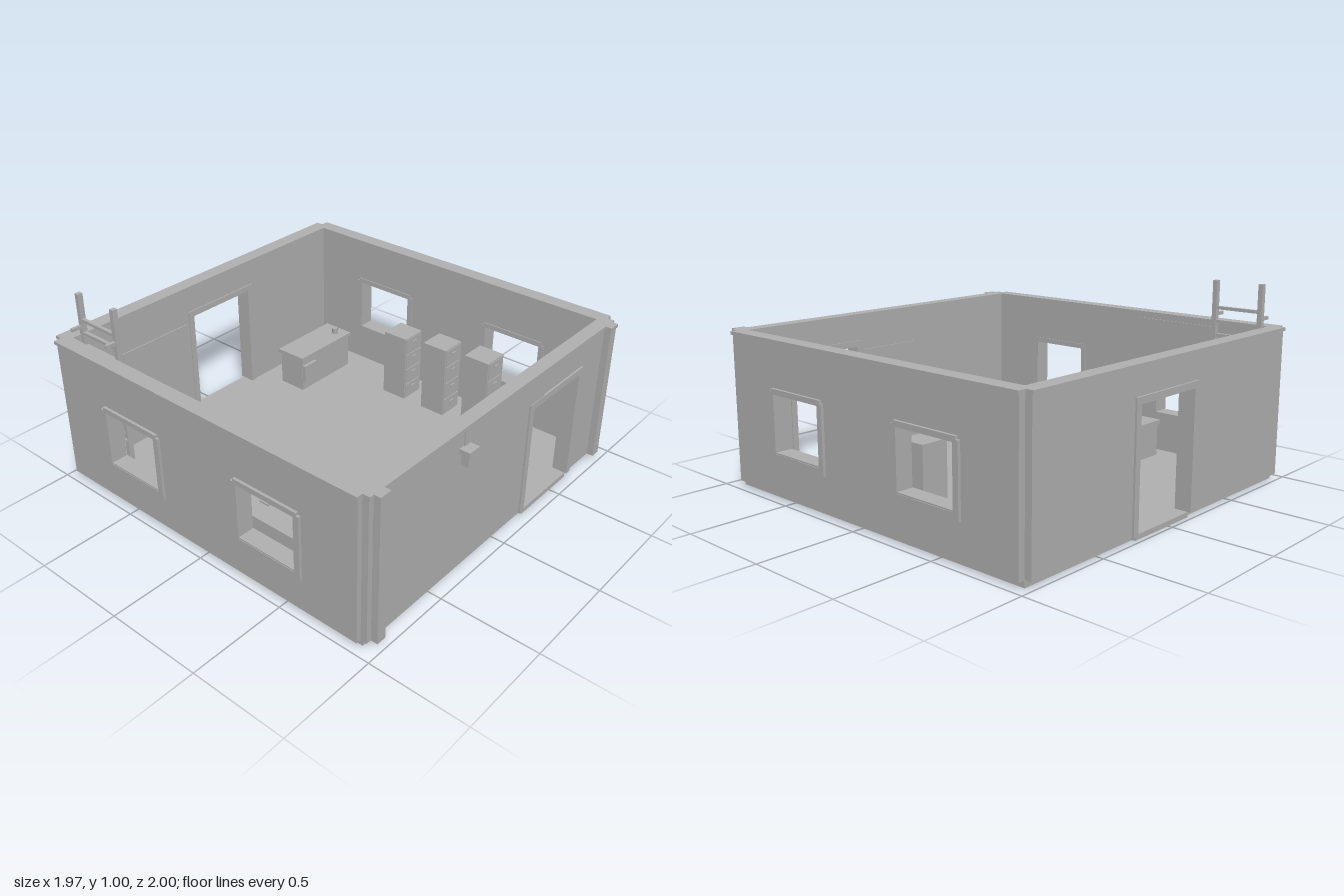
import * as THREE from 'three';

export function createModel() {
  const root = new THREE.Group();
  const grey = new THREE.MeshStandardMaterial({ color: 0xb2b2b2 });
  grey.name = 'plain grey';

  function add(geometry, name, parent = root) {
    const m = new THREE.Mesh(geometry, grey);
    m.name = name;
    parent.add(m);
    return m;
  }
  function group(name) {
    const g = new THREE.Group();
    g.name = name;
    root.add(g);
    return g;
  }
  // Box given by its extents on each axis
  function box(name, x0, x1, y0, y1, z0, z1, parent) {
    const m = add(new THREE.BoxGeometry(x1 - x0, y1 - y0, z1 - z0), name, parent);
    m.position.set((x0 + x1) / 2, (y0 + y1) / 2, (z0 + z1) / 2);
    return m;
  }
  function cyl(name, r0, r1, h, x, y, z, parent, n = 24) {
    const m = add(new THREE.CylinderGeometry(r0, r1, h, n), name, parent);
    m.position.set(x, y + h / 2, z);
    return m;
  }
  const rect = ([a, b, c, d], cut = 0) => [
    [a, c], [b, c], [b, d - cut], [b - cut, d - cut], [b - cut, d],
    [a + cut, d], [a + cut, d - cut], [a, d - cut],
  ].filter((p, i) => cut > 0 || [0, 1, 4, 5].includes(i)).map(p => new THREE.Vector2(...p));

  // Upright panel with rectangular openings, spanning from..to along z, or along x when side is true
  function panel(name, outer, holes, from, to, side = false, cut = 0) {
    const shape = new THREE.Shape(rect(outer, cut));
    holes.forEach(h => shape.holes.push(new THREE.Path(rect(h))));
    const g = new THREE.ExtrudeGeometry(shape, { depth: to - from, bevelEnabled: false });
    const m = add(g, name);
    if (side) {
      m.rotation.y = -Math.PI / 2;
      m.position.x = to;
    } else m.position.z = from;
    return m;
  }

  const F = 0.03, TOP = 0.768;
  const windows = [[0.25, 0.58, 0.235, 0.525], [-0.615, -0.28, 0.235, 0.525]];
  const frontDoor = [0.235, 0.64, F, 0.61];
  const backDoor = [-0.145, 0.258, F, 0.61];

  // Floor slab
  box('floor', -0.94, 0.94, 0, F, -0.96, 0.92);

  // Walls; door openings run down to the floor as notches
  function doorWall(name, w, [a, b, , d], z0, z1) {
    const s = new THREE.Shape([[-w, F], [a, F], [a, d], [b, d], [b, F], [w, F], [w, TOP], [-w, TOP]]
      .map(p => new THREE.Vector2(...p)));
    add(new THREE.ExtrudeGeometry(s, { depth: z1 - z0, bevelEnabled: false }), name).position.z = z0;
  }
  doorWall('frontWall', 0.945, frontDoor, 0.88, 0.945);
  doorWall('backWall', 0.935, backDoor, -0.99, -0.92);
  panel('leftWall', [-0.955, 0.912, F, TOP], windows, 0.9, 0.97, true);
  panel('rightWall', [-0.955, 0.912, F, TOP], windows, -0.97, -0.9, true);

  // Wall cap, following the stepped corners
  const half = [[0.94, -1], [0.94, -0.962], [0.98, -0.962], [0.98, 0.915], [0.948, 0.915],
    [0.948, 0.952], [0.925, 0.952], [0.925, 0.985], [0.86, 0.985], [0.86, 0.952]];
  const outline = [...half, ...half.map(([x, z]) => [-x, z]).reverse()];
  const cap = new THREE.Shape(outline.map(([x, z]) => new THREE.Vector2(x, -z)));
  cap.holes.push(new THREE.Path(rect([-0.9, 0.9, -0.88, 0.92])));
  const capMesh = add(new THREE.ExtrudeGeometry(cap, { depth: 0.017, bevelEnabled: false }), 'wallCap');
  capMesh.rotation.x = -Math.PI / 2;
  capMesh.position.y = TOP;

  for (const s of [-1, 1]) {
    // Front corner posts
    box('cornerPost', s * 0.892 - 0.026, s * 0.892 + 0.026, F, TOP, 0.94, 0.98);
    // Window frames inside and out, with sills
    for (const w of windows) {
      const outer = [w[0] - 0.032, w[1] + 0.032, w[2] - 0.035, w[3] + 0.027];
      const spans = s > 0 ? [[0.97, 0.984], [0.895, 0.9]] : [[-0.984, -0.97], [-0.9, -0.895]];
      spans.forEach(([a, b]) => panel('windowFrame', outer, [w], a, b, true, 0.015));
      box('windowSill', s * 0.9375 - 0.044, s * 0.9375 + 0.044, 0.222, 0.242, w[0], w[1]);
    }
  }

  // Door frames and thresholds
  function doorFrame([a, b, , d], z0, z1) {
    const t = 0.033;
    const g = group('doorFrame');
    box('jamb', a - t, a, F, d + t, z0, z1, g);
    box('jamb', b, b + t, F, d + t, z0, z1, g);
    box('lintel', a, b, d, d + t, z0, z1, g);
  }
  doorFrame(frontDoor, 0.945, 0.955);
  doorFrame(frontDoor, 0.874, 0.88);
  doorFrame(backDoor, -1, -0.99);
  doorFrame(backDoor, -0.92, -0.914);
  box('threshold', 0.235, 0.64, 0.005, F, 0.9, 0.945);
  box('threshold', -0.145, 0.258, 0.005, F, -0.985, -0.93);

  // Wall boards
  box('signBoard', -0.32, 0.32, 0.64, 0.77, 0.945, 0.952);
  box('frontWallBoard', -0.18, 0.2, 0.3, 0.59, 0.874, 0.88);
  box('backWallBoard', -0.63, -0.2, 0.3, 0.58, -0.92, -0.914);
  box('sideWallBoard', -0.9, -0.895, 0.58, 0.75, -0.64, -0.14);

  // Lantern beside the door
  const lantern = group('lantern');
  box('lanternArm', -0.325, -0.305, 0.66, 0.68, 0.945, 0.97, lantern);
  box('lanternCap', -0.352, -0.28, 0.672, 0.692, 0.945, 1, lantern);
  box('lanternBody', -0.342, -0.29, 0.607, 0.672, 0.952, 0.99, lantern);

  // Ladder to the roof
  const ladder = group('ladder');
  for (const z of [-0.915, -0.66]) {
    box('ladderRail', -0.852, -0.825, F, 1, z - 0.012, z + 0.012, ladder);
    for (const y of [0.28, 0.55, 0.82]) {
      box('ladderBracket', -0.905, -0.845, y, y + 0.017, z - 0.008, z + 0.008, ladder);
    }
  }
  for (let i = 0; i < 12; i++) {
    const y = 0.862 - i * 0.07;
    box('ladderRung', -0.848, -0.83, y - 0.008, y + 0.008, -0.91, -0.665, ladder);
  }

  // Long desk with three workstations
  const desk = group('desk');
  box('deskTop', -0.82, -0.57, 0.205, 0.225, -0.36, 0.515, desk);
  box('deskBody', -0.81, -0.58, F, 0.205, -0.35, 0.505, desk);
  for (const z of [-0.195, 0.08, 0.355]) {
    box('monitorBase', -0.69, -0.63, 0.225, 0.231, z - 0.012, z + 0.012, desk);
    box('monitorStand', -0.67, -0.65, 0.225, 0.265, z - 0.012, z, desk);
    box('monitorScreen', -0.73, -0.59, 0.255, 0.345, z - 0.01, z + 0.01, desk);
    box('keyboard', -0.725, -0.585, 0.225, 0.234, z + 0.042, z + 0.097, desk);
  }

  // Round stool
  const stool = group('stool');
  cyl('stoolSeat', 0.07, 0.07, 0.025, -0.42, 0.13, 0.24, stool);
  cyl('stoolPost', 0.014, 0.014, 0.1, -0.42, F, 0.24, stool, 12);
  cyl('stoolFoot', 0.05, 0.055, 0.012, -0.42, F, 0.24, stool);

  // Three filing cabinets with drawer fronts and handles
  [[-0.19, 0.41], [0.078, 0.435], [0.348, 0.455]].forEach(([z, h]) => {
    const g = group('filingCabinet');
    box('cabinetBody', 0.675, 0.82, F, h, z - 0.075, z + 0.073, g);
    const n = 4, step = (h - F) / n;
    for (let i = 0; i < n; i++) {
      const y = F + i * step;
      box('drawerFront', 0.685, 0.81, y + 0.008, y + step - 0.006, z + 0.073, z + 0.077, g);
      box('drawerHandle', 0.73, 0.765, y + step * 0.6, y + step * 0.6 + 0.01, z + 0.077, z + 0.083, g);
    }
  });

  // Counter at the back with a hanging cloth and a mug
  const counter = group('counter');
  box('counterTop', 0.362, 0.782, 0.223, 0.243, -0.79, -0.608, counter);
  box('counterBody', 0.372, 0.772, F, 0.223, -0.78, -0.618, counter);
  box('hangingCloth', 0.376, 0.474, 0.08, 0.188, -0.618, -0.6, counter);
  cyl('mug', 0.017, 0.015, 0.035, 0.718, 0.243, -0.674, counter, 16);
  const handle = add(new THREE.TorusGeometry(0.01, 0.003, 6, 12), 'mugHandle', counter);
  handle.position.set(0.738, 0.26, -0.674);

  return root;
}
